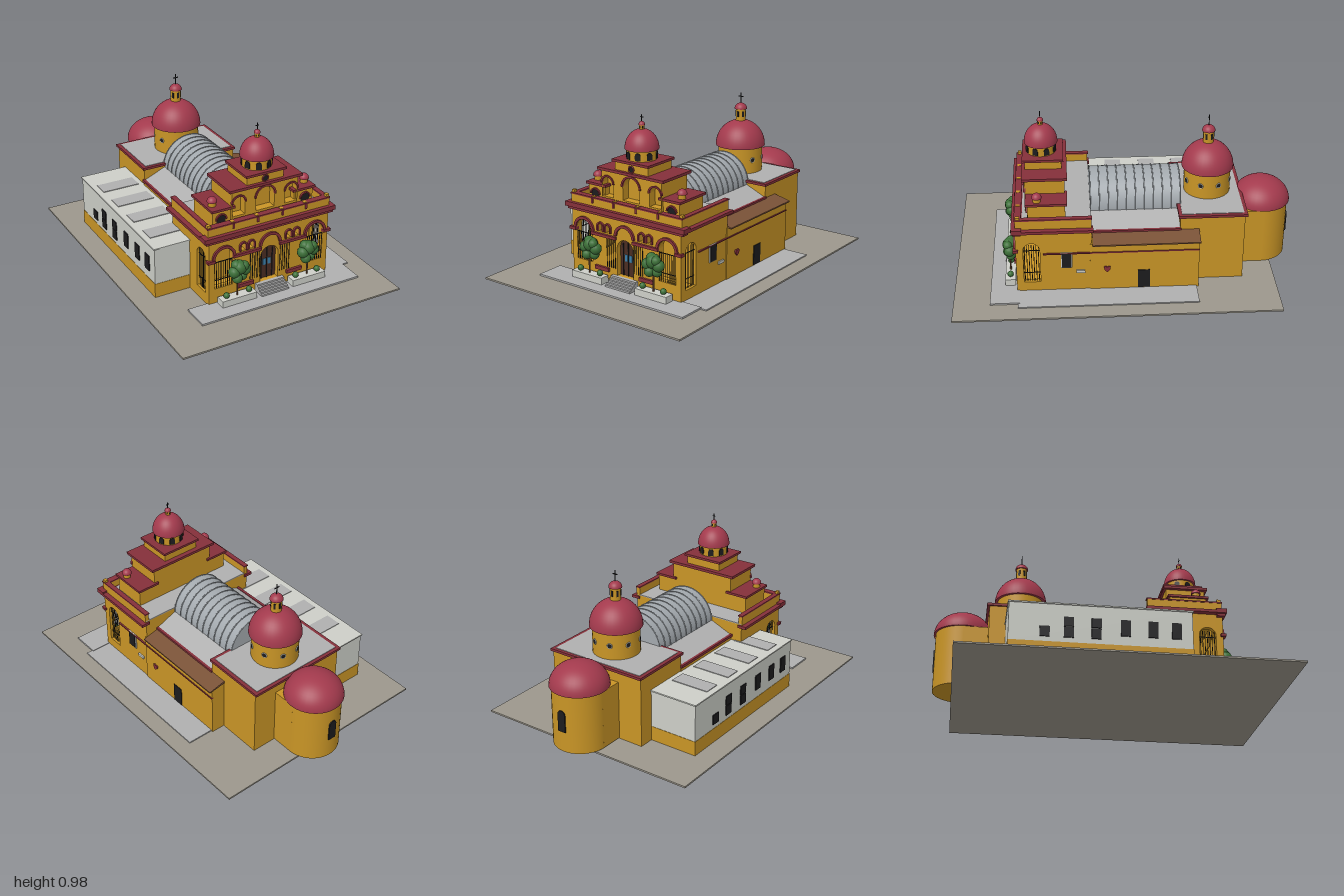
import * as THREE from 'three';

const mat = (color, side = THREE.FrontSide) => new THREE.MeshStandardMaterial({ color, side });
const M = {
  ochre: mat(0xc99526), trim: mat(0x85303a), dome: mat(0xa33a4d, THREE.DoubleSide), grey: mat(0xb0b0b0),
  metal: mat(0xa3a9ae, THREE.DoubleSide), ground: mat(0x9c978c), white: mat(0xcdcfc8), dark: mat(0x1c1c1e),
  brown: mat(0x7a5237), door: mat(0x4a2c22), leaf: mat(0x3c7038), glass: mat(0x3c7fa8),
};
const CX = 0.045; // symmetry axis of the church

export function createModel() {
  const root = new THREE.Group();
  let part = root;
  const group = (name) => { part = new THREE.Group(); part.name = name; root.add(part); };
  const add = (name, geo, m, x = 0, y = 0, z = 0) => {
    const mesh = new THREE.Mesh(geo, m);
    mesh.name = name;
    mesh.position.set(x, y, z);
    part.add(mesh);
    return mesh;
  };
  // Box given by its limits
  const box = (name, m, x0, x1, y0, y1, z0, z1) =>
    add(name, new THREE.BoxGeometry(x1 - x0, y1 - y0, z1 - z0), m, (x0 + x1) / 2, (y0 + y1) / 2, (z0 + z1) / 2);
  const cyl = (name, m, r, y0, y1, x, z, n = 32) =>
    add(name, new THREE.CylinderGeometry(r, r, y1 - y0, n), m, x, (y0 + y1) / 2, z);
  const dome = (name, r, h, x, y, z) => {
    const g = new THREE.SphereGeometry(r, 36, 14, 0, Math.PI * 2, 0, Math.PI / 2).scale(1, h / r, 1);
    add(name, g, M.dome, x, y, z);
    add(name + 'Base', new THREE.CircleGeometry(r, 36).rotateX(Math.PI / 2), M.dome, x, y, z);
  };
  // Round-headed outline
  const arch = (x, y0, spring, r, Kind = THREE.Path) => {
    const p = new Kind();
    p.moveTo(x - r, y0);
    p.lineTo(x + r, y0);
    p.lineTo(x + r, spring);
    p.absarc(x, spring, r, 0, Math.PI, false);
    p.lineTo(x - r, y0);
    return p;
  };
  const extrude = (shape, depth) => new THREE.ExtrudeGeometry(shape, { depth, bevelEnabled: false, curveSegments: 14 });
  const wallShape = (x0, x1, y0, y1, holes) => {
    const s = new THREE.Shape([[x0, y0], [x1, y0], [x1, y1], [x0, y1]].map((p) => new THREE.Vector2(...p)));
    s.holes.push(...holes);
    return s;
  };
  const archTrim = (x, y, r, w, z, legs = 0) => {
    const s = new THREE.Shape();
    s.moveTo(x + r, y - legs);
    s.lineTo(x + r, y);
    s.absarc(x, y, r, 0, Math.PI, false);
    s.lineTo(x - r, y - legs);
    s.lineTo(x - r + w, y - legs);
    s.lineTo(x - r + w, y);
    s.absarc(x, y, r - w, Math.PI, 0, true);
    s.lineTo(x + r - w, y - legs);
    return add('archTrim', extrude(s, 0.014), M.trim, 0, 0, z);
  };
  const cross = (x, y, z, h) => {
    box('crossPost', M.dark, x - 0.002, x + 0.002, y, y + h, z - 0.002, z + 0.002);
    box('crossArm', M.dark, x - h * 0.25, x + h * 0.25, y + h * 0.62, y + h * 0.7, z - 0.002, z + 0.002);
  };
  const lantern = (r, y0, y1, capH, crossH, z) => {
    cyl('lantern', M.ochre, r, y0, y1, CX, z, 16);
    for (let i = 0; i < 6; i++) {
      const a = (i * Math.PI) / 3;
      add('lanternSlit', new THREE.BoxGeometry(r * 0.4, (y1 - y0) * 0.45, r * 0.1), M.dark,
        CX + Math.sin(a) * r, y0 + (y1 - y0) * 0.6, z + Math.cos(a) * r).rotation.y = a;
    }
    dome('lanternCap', r * 1.25, capH, CX, y1, z);
    cross(CX, y1 + capH - 0.004, z, crossH);
  };

  group('grounds');
  box('groundSlab', M.ground, -0.7, 0.7, 0, 0.01, -0.88, 1);
  box('frontTerrace', M.grey, -0.47, 0.56, 0.01, 0.02, 0.62, 0.79);
  box('sidePath', M.grey, 0.42, 0.6, 0.01, 0.017, -0.41, 0.63);
  for (let i = 0; i < 5; i++) box('step', M.grey, CX - 0.09, CX + 0.09, 0.02, 0.03 + i * 0.01, 0.63, 0.71 - i * 0.013);
  for (const s of [-1, 1]) {
    box('planter', M.white, CX + s * 0.23 - 0.11, CX + s * 0.23 + 0.11, 0.02, 0.06, 0.645, 0.705);
    box('bench', M.trim, CX + s * 0.16 - 0.05, CX + s * 0.16 + 0.05, 0.083, 0.105, 0.64, 0.655);
    for (const d of [0.155, 0.3]) add('bush', new THREE.SphereGeometry(0.018, 14, 10), M.leaf, CX + s * d, 0.075, 0.675);
    cyl('treeTrunk', M.brown, 0.005, 0.05, 0.2, CX + s * 0.232, 0.675, 8);
    const tx = CX + s * 0.232 + (s < 0 ? 0.013 : 0);
    for (const [x, y, z, r] of [[0, 0.235, 0, 0.042], [-0.036, 0.215, 0.005, 0.034], [0.036, 0.215, 0, 0.034],
      [-0.02, 0.175, 0.012, 0.03], [0.022, 0.175, -0.005, 0.028], [-0.018, 0.25, -0.006, 0.03], [0.025, 0.245, 0.01, 0.028]])
      add('foliage', new THREE.SphereGeometry(r, 14, 10), M.leaf, tx + x, y, 0.675 + z);
  }

  // Open entrance porch with arched front and ends
  group('porch');
  const L = -0.345, R = 0.435;
  box('porchBody', M.ochre, L, R, 0.01, 0.44, 0.2, 0.49);
  box('porchFloor', M.ochre, L + 0.01, R - 0.01, 0.01, 0.07, 0.49, 0.6);
  box('porchCeiling', M.ochre, L + 0.01, R - 0.01, 0.4, 0.44, 0.48, 0.6);
  const bays = [-0.298, 0.298];
  const holes = bays.map((d) => arch(CX + d, 0.11, 0.298, 0.058));
  holes.push(arch(CX, 0.07, 0.232, 0.058));
  for (const d of [-0.175, -0.122, 0.122, 0.175]) holes.push(arch(CX + d, 0.31, 0.342, 0.016));
  add('frontWall', extrude(wallShape(L, R, 0.01, 0.44, holes), 0.04), M.ochre, 0, 0, 0.595);
  box('windowBacking', M.ochre, CX - 0.2, CX + 0.2, 0.3, 0.4, 0.59, 0.6);
  for (const x of [L, R - 0.03]) {
    const g = extrude(wallShape(-0.6, -0.48, 0.01, 0.44, [arch(-0.545, 0.075, 0.29, 0.048)]), 0.03);
    add('endWall', g.rotateY(Math.PI / 2), M.ochre, x);
    for (let i = 0; i < 7; i++) cyl('endBar', M.dark, 0.002, 0.075, 0.32, x + 0.015, 0.505 + i * 0.0135, 6);
    for (const y of [0.13, 0.28]) box('endRail', M.dark, x + 0.013, x + 0.017, y, y + 0.004, 0.497, 0.593);
  }
  for (const d of bays) {
    archTrim(CX + d, 0.3, 0.074, 0.016, 0.633);
    for (let i = 0; i < 9; i++) cyl('frontBar', M.dark, 0.002, 0.11, 0.28, CX + d - 0.056 + i * 0.014, 0.632, 6);
    for (const y of [0.16, 0.275]) box('frontRail', M.dark, CX + d - 0.058, CX + d + 0.058, y, y + 0.004, 0.63, 0.634);
  }
  for (const s of [-1, 1]) for (let i = 0; i < 5; i++)
    cyl('screenBar', M.dark, 0.002, 0.11, 0.28, CX + s * (0.068 + i * 0.015), 0.64, 6);
  archTrim(CX, 0.308, 0.072, 0.016, 0.633);
  for (const d of [-0.175, -0.122, 0.122, 0.175]) archTrim(CX + d, 0.342, 0.025, 0.009, 0.633, 0.03);
  for (const [a, b] of [[-0.403, -0.355], [-0.24, -0.06], [0.06, 0.24], [0.355, 0.403]])
    box('impostBand', M.trim, CX + a, CX + b, 0.283, 0.3, 0.62, 0.65);
  add('door', extrude(arch(CX, 0.07, 0.232, 0.058, THREE.Shape), 0.01), M.door, 0, 0, 0.595);
  for (const s of [-1, 1]) {
    box('doorPane', M.glass, CX + s * 0.016 - 0.01, CX + s * 0.016 + 0.01, 0.155, 0.195, 0.604, 0.608);
    box('doorPost', M.dark, CX + s * 0.036 - 0.002, CX + s * 0.036 + 0.002, 0.07, 0.26, 0.604, 0.61);
  }
  box('doorSeam', M.dark, CX - 0.002, CX + 0.002, 0.07, 0.285, 0.604, 0.61);
  // Cornice, roof and parapet
  box('frontCornice', M.trim, CX - 0.425, CX + 0.425, 0.42, 0.447, 0.595, 0.655);
  box('frontCorniceLower', M.trim, CX - 0.412, CX + 0.412, 0.405, 0.42, 0.6, 0.648);
  box('porchRoof', M.grey, L, R, 0.44, 0.446, 0.2, 0.62);
  box('frontParapet', M.ochre, CX - 0.395, CX + 0.395, 0.44, 0.492, 0.6, 0.632);
  box('frontParapetCap', M.trim, CX - 0.397, CX + 0.397, 0.492, 0.5, 0.596, 0.636);
  for (const s of [-1, 1]) {
    const span = (a, b) => [CX + s * a, CX + s * b].sort((p, q) => p - q);
    box('sideCornice', M.trim, ...span(0.37, 0.425), 0.42, 0.437, 0.19, 0.655);
    box('sideParapet', M.ochre, ...span(0.37, 0.395), 0.43, 0.492, 0.2, 0.632);
    box('sideParapetCap', M.trim, ...span(0.367, 0.398), 0.492, 0.5, 0.195, 0.635);
    for (const d of [0.08, 0.235, 0.385]) {
      box('parapetPost', M.ochre, CX + s * d - 0.01, CX + s * d + 0.01, 0.49, d > 0.3 ? 0.515 : 0.503, 0.605, 0.628);
      if (d < 0.3) box('waterSpout', M.dome, CX + s * d - 0.005, CX + s * d + 0.005, 0.465, 0.495, 0.63, 0.64);
    }
  }

  // Stepped bell gable with tower
  group('frontTower');
  for (const s of [-1, 1]) {
    const [a, b] = [CX + s * 0.2, CX + s * 0.325].sort((p, q) => p - q);
    box('wing', M.ochre, a, b, 0.44, 0.55, 0.345, 0.56);
    add('wingOpening', extrude(arch(CX + s * 0.273, 0.446, 0.495, 0.028, THREE.Shape), 0.004), M.dark, 0, 0, 0.558);
    archTrim(CX + s * 0.273, 0.495, 0.036, 0.008, 0.556);
    box('wingCap', M.trim, a - 0.012, b + 0.012, 0.548, 0.562, 0.333, 0.572);
    cyl('turret', M.ochre, 0.022, 0.56, 0.587, CX + s * 0.3, 0.505, 16);
    dome('turretDome', 0.029, 0.03, CX + s * 0.3, 0.587, 0.505);
  }
  box('tierOneCore', M.ochre, CX - 0.213, CX + 0.213, 0.44, 0.655, 0.345, 0.525);
  const niches = [arch(CX, 0.5, 0.58, 0.06), arch(CX - 0.17, 0.5, 0.578, 0.04), arch(CX + 0.17, 0.5, 0.578, 0.04)];
  add('tierOneFront', extrude(wallShape(CX - 0.213, CX + 0.213, 0.44, 0.655, niches), 0.05), M.ochre, 0, 0, 0.525);
  archTrim(CX, 0.58, 0.07, 0.011, 0.568);
  for (const d of [-0.17, 0.17]) archTrim(CX + d, 0.578, 0.049, 0.01, 0.568);
  box('tierOneCap', M.trim, CX - 0.235, CX + 0.235, 0.653, 0.669, 0.33, 0.59);
  box('tierTwo', M.ochre, CX - 0.118, CX + 0.118, 0.665, 0.72, 0.36, 0.57);
  add('roundWindow', new THREE.CylinderGeometry(0.015, 0.015, 0.006, 20).rotateX(Math.PI / 2), M.dark, CX, 0.688, 0.571);
  add('roundWindowRim', new THREE.TorusGeometry(0.018, 0.004, 8, 24), M.trim, CX, 0.688, 0.572);
  box('tierTwoCap', M.trim, CX - 0.13, CX + 0.13, 0.718, 0.732, 0.348, 0.585);
  cyl('bellDrum', M.ochre, 0.085, 0.73, 0.79, CX, 0.475);
  for (let i = 0; i < 8; i++) {
    const a = ((i + 0.5) * Math.PI) / 4;
    const w = add('bellOpening', extrude(arch(0, 0.738, 0.765, 0.016, THREE.Shape), 0.005), M.dark,
      CX + Math.sin(a) * 0.083, 0, 0.475 + Math.cos(a) * 0.083);
    w.rotation.y = a;
  }
  dome('bellDome', 0.097, 0.112, CX, 0.79, 0.475);
  lantern(0.015, 0.895, 0.924, 0.02, 0.042, 0.475);

  // Nave, lean-to aisle and barrel vault
  group('nave');
  box('naveWalls', M.ochre, -0.275, 0.36, 0.01, 0.355, -0.32, 0.21);
  const hip = new THREE.Shape([[-0.275, 0.355], [0.36, 0.355], [0.22, 0.415], [-0.135, 0.415]].map((p) => new THREE.Vector2(...p)));
  add('naveRoof', extrude(hip, 0.52), M.grey, 0, 0, -0.32);
  for (const x of [-0.275, 0.355]) box('naveEave', M.trim, x - 0.008, x + 0.008, 0.347, 0.363, -0.32, 0.2);
  const vault = new THREE.CylinderGeometry(0.176, 0.176, 0.53, 36, 1, false, -Math.PI / 2, Math.PI);
  add('barrelVault', vault.rotateX(-Math.PI / 2).rotateZ(0), M.metal, CX, 0.415, -0.065).name = 'barrelVault';
  for (let i = 0; i <= 10; i++)
    add('vaultRib', new THREE.TorusGeometry(0.177, 0.0035, 6, 32, Math.PI), M.metal, CX, 0.415, -0.328 + i * 0.0526);
  const aisle = new THREE.Shape([[0.35, 0.01], [0.44, 0.01], [0.44, 0.325], [0.35, 0.345]].map((p) => new THREE.Vector2(...p)));
  add('aisle', extrude(aisle, 0.63), M.ochre, 0, 0, -0.42);
  const tiles = new THREE.Shape([[0.35, 0.34], [0.46, 0.32], [0.46, 0.328], [0.35, 0.355]].map((p) => new THREE.Vector2(...p)));
  add('aisleRoof', extrude(tiles, 0.62), M.brown, 0, 0, -0.425);
  box('aisleBand', M.trim, 0.43, 0.445, 0.264, 0.271, -0.42, 0.48);
  box('sideDoor', M.dark, 0.43, 0.444, 0.02, 0.14, -0.135, -0.065);
  box('sideWindowFrame', M.white, 0.42, 0.442, 0.17, 0.272, 0.312, 0.378);
  box('sideWindow', M.dark, 0.43, 0.446, 0.176, 0.268, 0.318, 0.373);
  box('plaque', M.white, 0.43, 0.444, 0.133, 0.15, 0.24, 0.29);
  const heart = new THREE.Shape();
  heart.moveTo(0, -0.022);
  heart.bezierCurveTo(0.03, 0, 0.02, 0.028, 0, 0.012);
  heart.bezierCurveTo(-0.02, 0.028, -0.03, 0, 0, -0.022);
  add('heartOrnament', extrude(heart, 0.008).rotateY(Math.PI / 2), M.trim, 0.44, 0.157, 0.112);

  // Side annex
  group('annex');
  box('annexBase', M.ochre, -0.568, -0.27, 0.01, 0.097, -0.598, 0.413);
  box('annexWalls', M.white, -0.566, -0.27, 0.097, 0.318, -0.596, 0.411);
  box('annexRoof', M.white, -0.572, -0.27, 0.318, 0.326, -0.602, 0.417);
  for (const z of [-0.39, -0.18, 0.035, 0.245]) box('skylight', M.grey, -0.535, -0.3, 0.324, 0.33, z - 0.05, z + 0.05);
  for (const [z, y, h] of [[-0.4, 0.125, 0.06], [-0.27, 0.125, 0.06], [-0.27, 0.19, 0.055], [-0.12, 0.125, 0.06],
    [-0.12, 0.19, 0.055], [0.04, 0.15, 0.095], [0.19, 0.15, 0.095], [0.32, 0.15, 0.095]])
    box('annexWindow', M.dark, -0.572, -0.56, y, y + h, z - 0.027, z + 0.027);

  // Crossing with large dome
  group('crossing');
  box('crossingWalls', M.ochre, -0.27, 0.355, 0.01, 0.43, -0.69, -0.315);
  box('crossingCornice', M.trim, -0.28, 0.362, 0.428, 0.443, -0.705, -0.305);
  box('crossingRoof', M.grey, -0.258, 0.34, 0.44, 0.446, -0.685, -0.325);
  cyl('drum', M.ochre, 0.137, 0.44, 0.605, CX, -0.5, 40);
  for (let i = 0; i < 8; i++) {
    const a = ((i + 0.5) * Math.PI) / 4;
    const place = (name, g, m, r) => add(name, g, m, CX + Math.sin(a) * r, 0.53, -0.5 + Math.cos(a) * r).rotation.y = a;
    place('drumWindow', new THREE.CylinderGeometry(0.012, 0.012, 0.006, 16).rotateX(Math.PI / 2), M.dark, 0.137);
    place('drumWindowRim', new THREE.TorusGeometry(0.014, 0.003, 6, 18), M.white, 0.138);
  }
  dome('greatDome', 0.153, 0.158, CX, 0.603, -0.5);
  lantern(0.031, 0.752, 0.83, 0.036, 0.068, -0.5);

  // Rounded apse
  group('apse');
  box('apseLink', M.ochre, CX - 0.16, CX + 0.16, 0.015, 0.365, -0.83, -0.68);
  cyl('apseWall', M.ochre, 0.16, 0.015, 0.37, CX, -0.828, 40);
  dome('apseDome', 0.17, 0.138, CX, 0.367, -0.83);
  add('apseWindow', extrude(arch(CX, 0.14, 0.245, 0.025, THREE.Shape), 0.012), M.dark, 0, 0, -0.993);

  return root;
}
